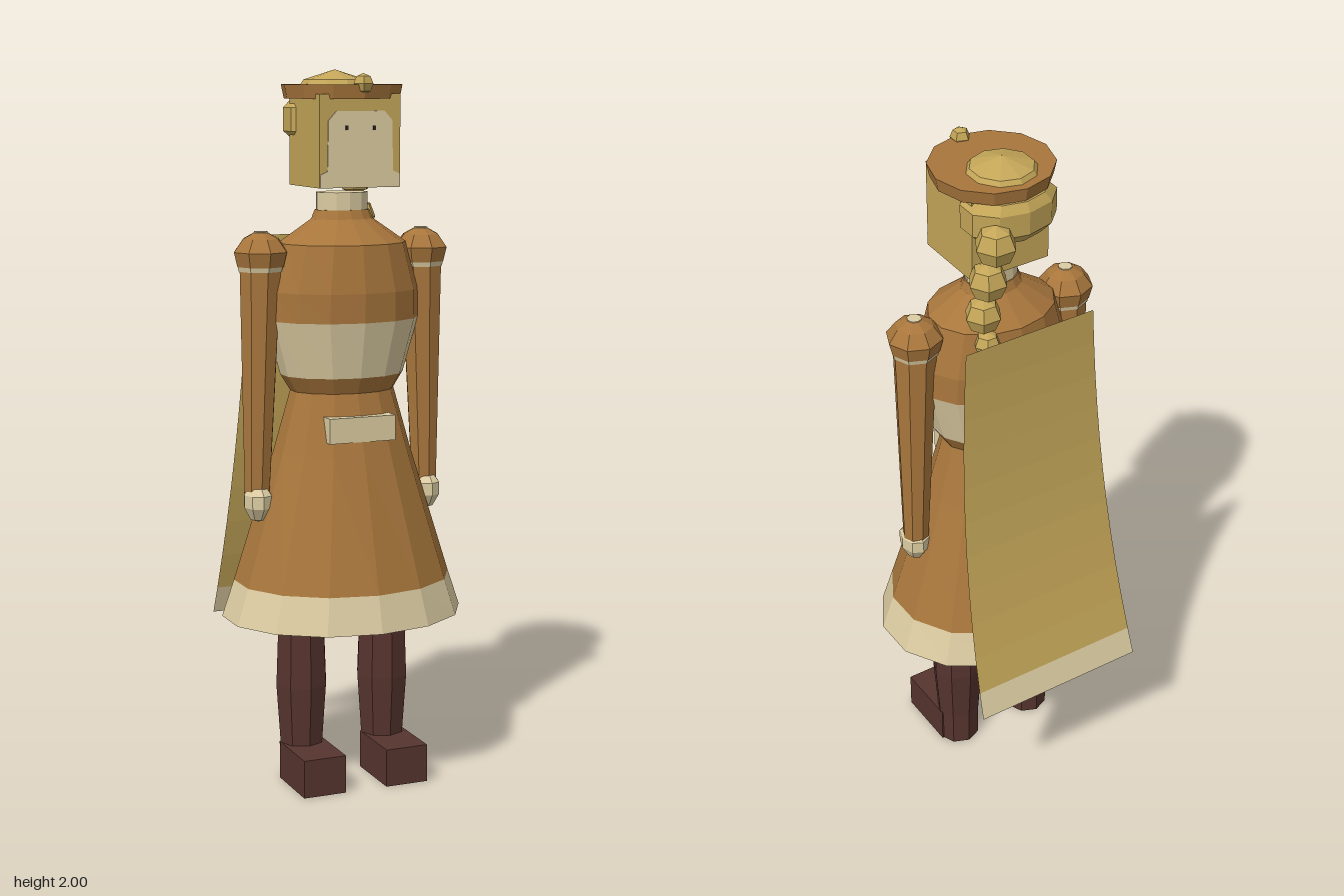
import * as THREE from 'three';

const mat = (name, color, side = THREE.FrontSide) => {
  const m = new THREE.MeshStandardMaterial({ color, side });
  m.name = name;
  return m;
};

export function createModel() {
  const brown = mat('brown cloth', 0xa8763c);
  const cream = mat('cream', 0xdccca2, THREE.DoubleSide);
  const gold = mat('gold', 0xc4a658, THREE.DoubleSide);
  const dark = mat('dark leather', 0x56342e);
  const eyeMat = mat('eye', 0x2a2020);

  const model = new THREE.Group();
  model.name = 'figure';
  const Z = 0.035; // body axis

  // Faceted mesh with hard edges
  function add(name, geo, material, x = 0, y = 0, z = 0) {
    const g = geo.index ? geo.toNonIndexed() : geo;
    g.computeVertexNormals();
    const mesh = new THREE.Mesh(g, material);
    mesh.name = name;
    mesh.position.set(x, y, z);
    model.add(mesh);
    return mesh;
  }
  const box = (w, h, d) => new THREE.BoxGeometry(w, h, d);

  // Elliptical loft through rows of [y, half width, half depth]
  function loft(rows, sides) {
    const g = new THREE.LatheGeometry(rows.map(r => new THREE.Vector2(1, r[0])), sides);
    const p = g.attributes.position;
    for (let i = 0; i < p.count; i++) {
      const r = rows[i % rows.length];
      p.setX(i, p.getX(i) * r[1]);
      p.setZ(i, p.getZ(i) * r[2]);
    }
    return g;
  }

  // Dress, from hem to collar
  const hem = [0.48, 0.348, 0.29], hemTop = [0.583, 0.313, 0.265];
  const chestLow = [1.165, 0.178, 0.135], chestHigh = [1.32, 0.222, 0.166];
  add('skirt', loft([hemTop, [0.95, 0.198, 0.162], [1.12, 0.15, 0.114], chestLow], 14), brown, 0, 0, Z);
  add('hemTrim', loft([hem, hemTop], 14), cream, 0, 0, Z);
  add('skirtUnderside', loft([[0.482, 0.001, 0.001], [0.482, 0.345, 0.287]], 14), brown, 0, 0, Z);
  add('chestBand', loft([chestLow, chestHigh], 14), cream, 0, 0, Z);
  add('shoulders', loft([chestHigh, [1.4, 0.22, 0.168], [1.53, 0.182, 0.15],
    [1.595, 0.088, 0.07], [1.62, 0.078, 0.06], [1.62, 0.001, 0.001]], 14), brown, 0, 0, Z);
  add('neck', loft([[1.6, 0.075, 0.058], [1.668, 0.075, 0.058], [1.668, 0.001, 0.001]], 12), cream, 0, 0, Z);
  add('buckle', box(0.195, 0.07, 0.3), cream, 0, 1.025, Z);

  // Head with face plate and eyes
  add('head', box(0.236, 0.25, 0.222), gold, 0, 1.81, 0.051);
  const face = new THREE.Shape();
  [[-0.117, 1.686], [0.117, 1.686], [0.117, 1.72], [0.096, 1.73], [0.093, 1.865], [0.07, 1.89],
    [-0.07, 1.89], [-0.093, 1.865], [-0.096, 1.73], [-0.117, 1.72]]
    .forEach(([x, y], i) => (i ? face.lineTo(x, y) : face.moveTo(x, y)));
  add('face', new THREE.ExtrudeGeometry(face, { depth: 0.004, bevelEnabled: false }), cream, 0, 0, 0.161);
  for (const s of [-1, 1]) add('eye', box(0.008, 0.012, 0.003), eyeMat, s * 0.04, 1.845, 0.166);

  // Hair mass and braid
  add('hair', loft([[-0.06, 0.001, 0.001], [-0.06, 0.1, 0.073], [-0.03, 0.135, 0.098],
    [0.035, 0.135, 0.1], [0.06, 0.11, 0.085], [0.06, 0.001, 0.001]], 10), gold, 0, 1.862, -0.05);
  [[0.09, 1.82, -0.128, 0.058], [0.1, 1.705, -0.107, 0.055], [0.1, 1.59, -0.083, 0.052],
    [0.095, 1.505, -0.095, 0.038]].forEach(([x, y, z, r]) =>
    add('braidBead', new THREE.SphereGeometry(r, 6, 4), gold, x, y, z));

  // Cap with crown and badge
  add('capBrim', new THREE.CylinderGeometry(0.168, 0.16, 0.038, 12), brown, 0, 1.941, 0.031);
  add('capCrown', loft([[1.955, 0.098, 0.098], [1.973, 0.086, 0.086], [2, 0.001, 0.001]], 10), gold, 0, 0, -0.018);
  add('capBadge', new THREE.SphereGeometry(0.028, 5, 4), gold, 0, 1.962, 0.182);

  for (const s of [-1, 1]) {
    // Arm: puffed shoulder, trim, tapered sleeve and hand
    add('shoulderPuff', loft([[1.47, 0.068, 0.068], [1.51, 0.078, 0.078], [1.545, 0.052, 0.052],
      [1.562, 0.02, 0.02], [1.564, 0.001, 0.001]], 8), brown, s * 0.24, 0, Z);
    add('shoulderButton', new THREE.CylinderGeometry(0.02, 0.02, 0.006, 8), cream, s * 0.24, 1.562, Z);
    add('sleeveTrim', new THREE.CylinderGeometry(0.067, 0.063, 0.016, 8), cream, s * 0.241, 1.465, Z);
    const sleeve = add('sleeve', new THREE.CylinderGeometry(0.061, 0.037, 0.64, 8), brown, s * 0.248, 1.16, Z);
    sleeve.rotation.z = s * 0.022;
    add('hand', loft([[-0.052, 0.001, 0.001], [-0.045, 0.022, 0.026], [-0.01, 0.04, 0.05],
      [0.025, 0.04, 0.05], [0.045, 0.026, 0.03]], 8), cream, s * 0.256, 0.812, 0.042);

    // Leg and boot
    add('leg', loft([[0.002, 0.001, 0.001], [0.002, 0.062, 0.062], [0.11, 0.064, 0.064],
      [0.28, 0.076, 0.076], [0.44, 0.07, 0.07], [0.49, 0.07, 0.07]], 8), dark, s * 0.125, 0, Z);
    add('boot', box(0.126, 0.108, 0.19), dark, s * 0.125, 0.054, 0.12);
  }

  // Cape that sweeps backwards as it falls; t runs from neck to hem
  function cape(t0, t1, steps) {
    const g = new THREE.PlaneGeometry(2, 1, 1, steps);
    const p = g.attributes.position;
    for (let i = 0; i < p.count; i++) {
      const t = t0 + (t1 - t0) * (0.5 - p.getY(i));
      p.setXYZ(i, -p.getX(i) * (0.2 + 0.062 * t), 1.54 - 1.13 * t, -0.157 - 0.172 * t ** 2.2);
    }
    return g;
  }
  add('cape', cape(0, 0.93, 10), gold);
  add('capeTrim', cape(0.93, 1, 1), cream);

  return model;
}
